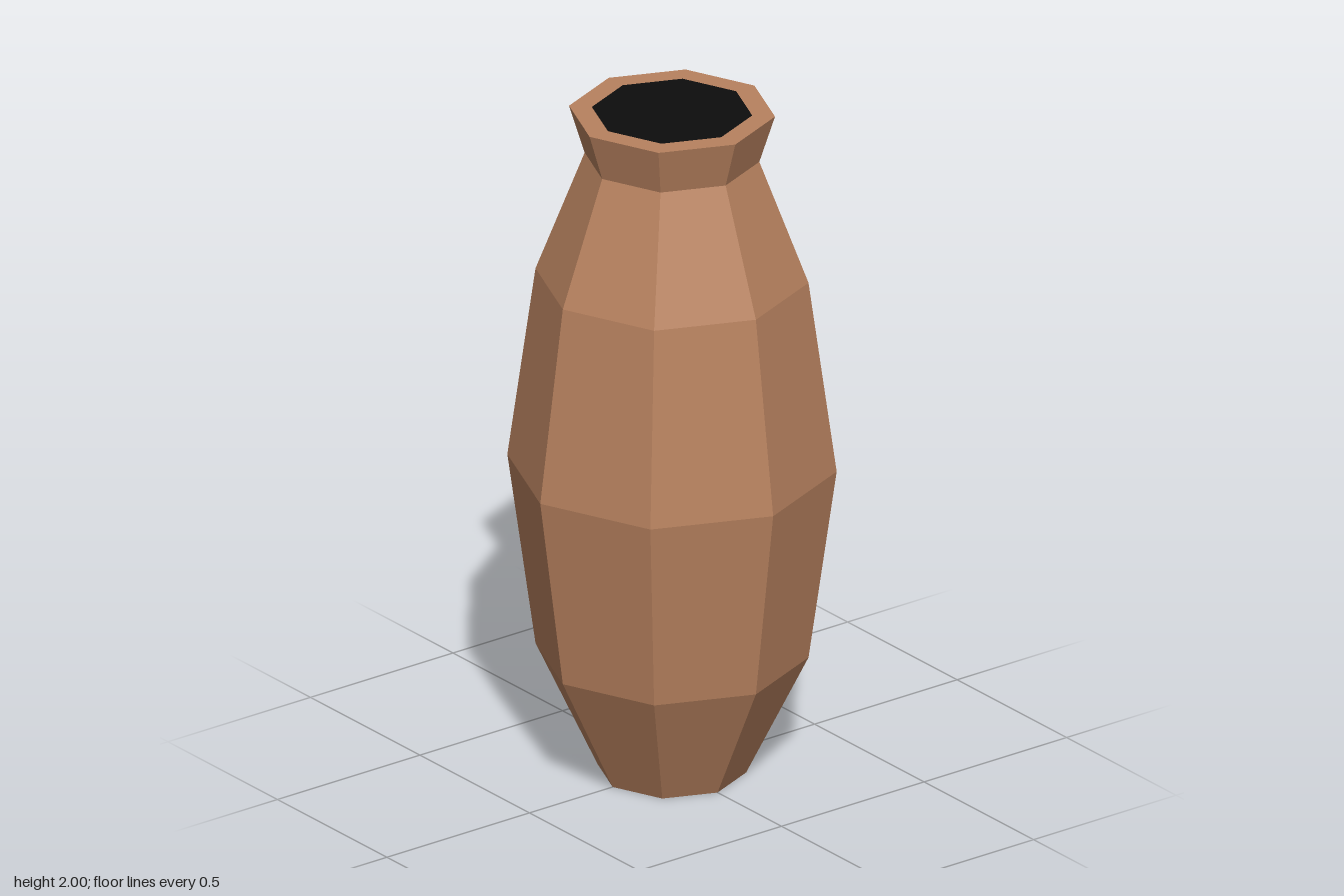
import * as THREE from 'three';

const SIDES = 8;

export function createModel() {
  const clay = new THREE.MeshStandardMaterial({ color: 0xb8825f, flatShading: true });
  clay.name = 'clay brown';
  const dark = new THREE.MeshStandardMaterial({ color: 0x0d0d0d });
  dark.name = 'black';

  const group = new THREE.Group();
  group.name = 'vase';

  // Faceted body: base, belly, neck, flared lip and flat rim
  const profile = [
    [0, 0], [0.208, 0], [0.383, 0.36], [0.462, 0.93],
    [0.383, 1.5], [0.245, 1.86], [0.289, 2], [0.225, 2],
  ].map(([r, y]) => new THREE.Vector2(r, y));
  const body = new THREE.Mesh(new THREE.LatheGeometry(profile, SIDES), clay);
  body.name = 'body';
  group.add(body);

  // Dark opening, flush with the rim
  const opening = new THREE.Mesh(new THREE.CircleGeometry(0.225, SIDES).rotateX(-Math.PI / 2), dark);
  opening.name = 'opening';
  opening.position.y = 2;
  group.add(opening);

  return group;
}
